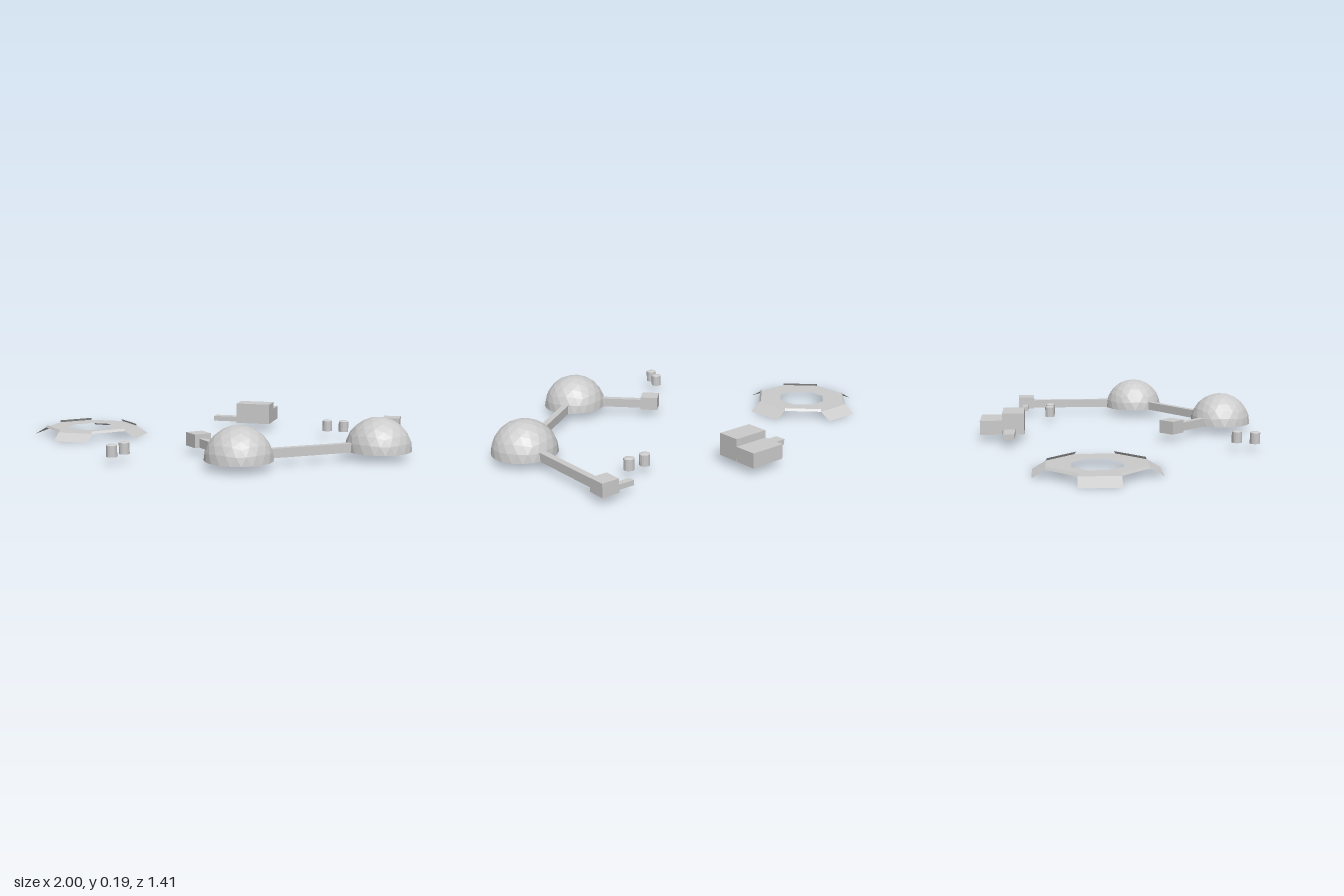
import * as THREE from 'three';

const BASE = 0.036; // height of the ground floor of the buildings
const mat = new THREE.MeshStandardMaterial({ color: 0xcccccc, flatShading: true });
const thin = new THREE.MeshStandardMaterial({ color: 0xcccccc, flatShading: true, side: THREE.DoubleSide });

function add(parent, name, geometry, x, y, z, material = mat) {
  const mesh = new THREE.Mesh(geometry, material);
  mesh.name = name;
  mesh.position.set(x, y, z);
  parent.add(mesh);
  return mesh;
}

// Box standing on the base level, centred on x, z
function block(parent, name, w, h, d, x, z, turn = 0) {
  const mesh = add(parent, name, new THREE.BoxGeometry(w, h, d), x, BASE + h / 2, z);
  mesh.rotation.y = turn;
  return mesh;
}

// Upper half of a pole-up icosphere, open underneath
function domeGeometry(radius) {
  const ico = new THREE.IcosahedronGeometry(radius, 3);
  ico.rotateZ(-Math.atan(2 / (1 + Math.sqrt(5))));
  const p = ico.attributes.position.array;
  const kept = [];
  for (let i = 0; i < p.length; i += 9) {
    if (p[i + 1] + p[i + 4] + p[i + 7] > 0) kept.push(...p.slice(i, i + 9));
  }
  const geo = new THREE.BufferGeometry();
  geo.setAttribute('position', new THREE.Float32BufferAttribute(kept, 3));
  geo.computeVertexNormals();
  return geo;
}

// Straight corridor between two ground points [x, z], shortened at each end
function corridor(parent, a, b, trimA, trimB) {
  const dx = b[0] - a[0], dz = b[1] - a[1], len = Math.hypot(dx, dz);
  const mid = (trimA + len - trimB) / 2 / len;
  block(parent, 'corridor', 0.032, 0.043, len - trimA - trimB,
    a[0] + dx * mid, a[1] + dz * mid, Math.atan2(dx, dz));
}

// Flat strip hinged on a plate edge, reaching outward and rising (or falling)
function flapGeometry(width, inner, out, rise) {
  const w = width / 2, o = inner + out;
  const geo = new THREE.BufferGeometry();
  geo.setAttribute('position', new THREE.Float32BufferAttribute(
    [-w, 0, inner, w, 0, inner, w, rise, o, -w, rise, o], 3));
  geo.setIndex([0, 2, 1, 0, 3, 2]);
  geo.computeVertexNormals();
  return geo;
}

function octagon(path, apothem) {
  const r = apothem / Math.cos(Math.PI / 8);
  const points = [];
  for (let i = 0; i < 8; i++) {
    const a = Math.PI / 8 + i * Math.PI / 4;
    points.push(new THREE.Vector2(r * Math.cos(a), r * Math.sin(a)));
  }
  return path.setFromPoints(points);
}

function landingPad() {
  const pad = new THREE.Group();
  pad.name = 'landingPad';
  const apothem = 0.224, side = 2 * apothem * Math.tan(Math.PI / 8);
  const shape = octagon(new THREE.Shape(), apothem);
  shape.holes.push(octagon(new THREE.Path(), 0.113));
  const plate = new THREE.ShapeGeometry(shape);
  plate.rotateX(-Math.PI / 2);
  add(pad, 'padPlate', plate, 0, 0, 0, thin);
  // Ramps on the straight sides, low upright lips on the diagonal sides
  for (let i = 0; i < 8; i++) {
    const ramp = i % 2 === 0;
    const geo = ramp ? flapGeometry(side, apothem, 0.06, -BASE) : flapGeometry(side, apothem, -0.008, 0.012);
    add(pad, ramp ? 'padRamp' : 'padLip', geo, 0, 0, 0, thin).rotation.y = i * Math.PI / 4;
  }
  pad.position.set(-0.716, BASE, -0.153);
  return pad;
}

export function createModel() {
  const model = new THREE.Group();
  model.name = 'base';
  model.add(landingPad());

  // Domes
  const domes = [[0.271, 0.547], [0.842, 0.13]];
  for (const [x, z] of domes) add(model, 'dome', domeGeometry(0.157), x, BASE, z, thin);

  // Airlocks and the corridors that link everything
  const airlocks = [[0, 0.256], [0.842, -0.491]];
  block(model, 'airlock', 0.087, 0.065, 0.087, ...airlocks[0], Math.PI / 4);
  block(model, 'airlock', 0.087, 0.065, 0.087, ...airlocks[1]);
  block(model, 'airlockPorch', 0.086, 0.024, 0.032, 0.745, -0.494);
  corridor(model, airlocks[0], domes[0], 0.03, 0.12);
  corridor(model, domes[0], domes[1], 0.13, 0.13);
  corridor(model, domes[1], airlocks[1], 0.13, 0.03);

  // Stepped building with a side passage
  block(model, 'hallFront', 0.183, 0.107, 0.109, 0.092, -0.54);
  block(model, 'hallBack', 0.183, 0.071, 0.11, 0.092, -0.65);
  block(model, 'hallPassage', 0.139, 0.026, 0.053, -0.069, -0.556);

  // Storage tanks with shallow domed lids
  const profile = [[0, 0], [0.025, 0], [0.025, 0.053], [0.015, 0.058], [0, 0.06]]
    .map(([r, y]) => new THREE.Vector2(r, y));
  const tank = new THREE.LatheGeometry(profile, 16);
  for (const [x, z] of [[0.522, -0.357], [0.608, -0.354], [-0.273, 0.539], [-0.303, 0.621]]) {
    add(model, 'tank', tank, x, BASE, z);
  }
  return model;
}
